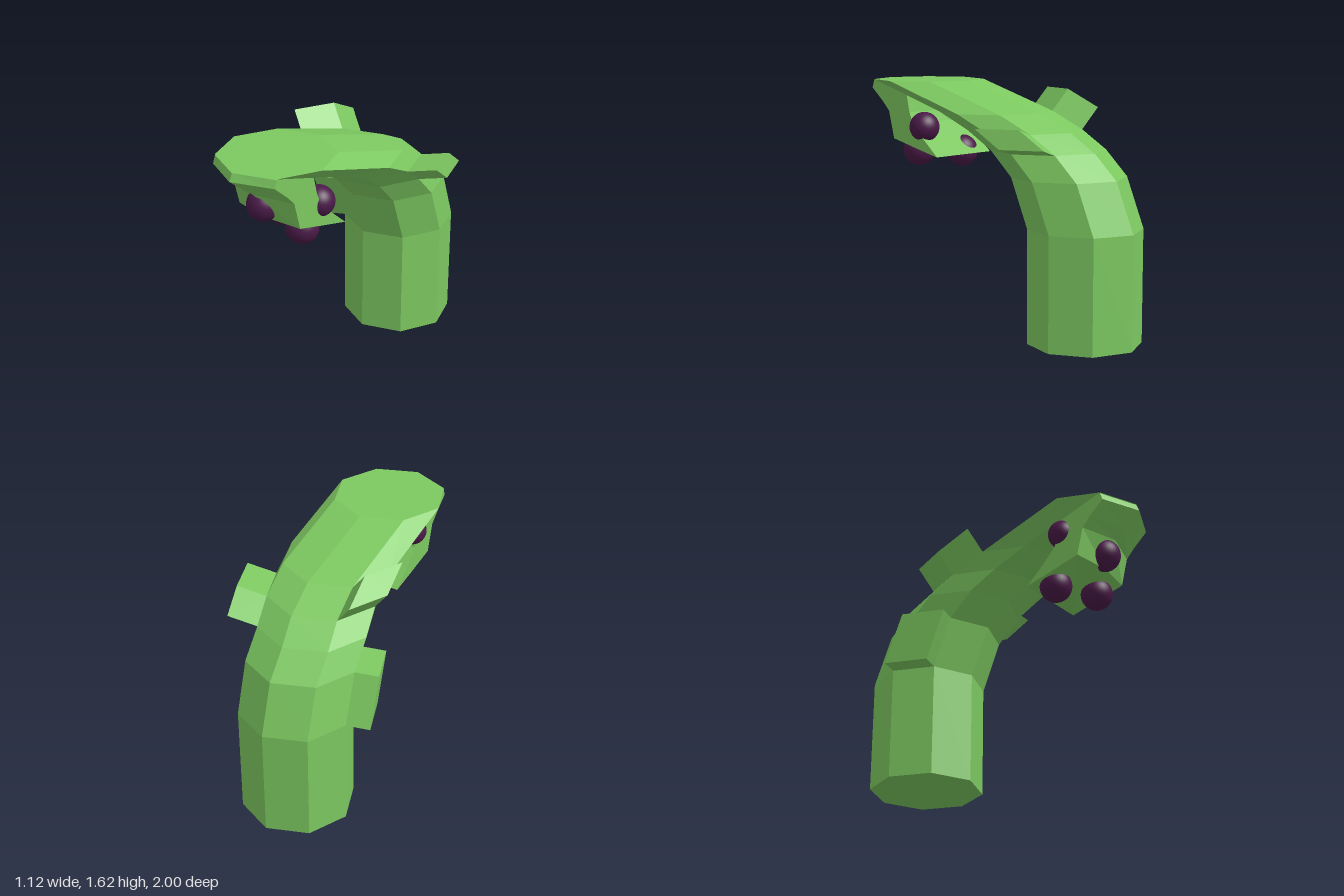
import * as THREE from 'three';

const green = new THREE.MeshStandardMaterial({ color: 0x7cc860, flatShading: true });
const purple = new THREE.MeshStandardMaterial({ color: 0x4a1a48 });

// Capped solid through loops of points with equal counts; faces always point outward
function loft(name, loops) {
  const tris = [];
  const n = loops[0].length;
  for (let s = 0; s < loops.length - 1; s++) {
    const a = loops[s], b = loops[s + 1];
    for (let i = 0; i < n; i++) {
      const j = (i + 1) % n;
      tris.push([a[i], a[j], b[j]], [a[i], b[j], b[i]]);
    }
  }
  const first = loops[0], last = loops[loops.length - 1];
  for (let i = 1; i < n - 1; i++) {
    tris.push([first[0], first[i + 1], first[i]], [last[0], last[i], last[i + 1]]);
  }
  let volume = 0;
  for (const [a, b, c] of tris) volume += a.dot(b.clone().cross(c));
  if (volume < 0) tris.forEach((t) => t.reverse());
  const geometry = new THREE.BufferGeometry().setFromPoints(tris.flat());
  geometry.computeVertexNormals();
  const mesh = new THREE.Mesh(geometry, green);
  mesh.name = name;
  return mesh;
}

export function createModel() {
  const group = new THREE.Group();
  group.name = 'bentStalk';

  // Stalk: level octagons that shift forward as they rise [x, y, z]
  const centres = [
    [-0.055, 0, -0.635], [-0.055, 0.73, -0.635], [-0.04, 1.05, -0.515],
    [-0.025, 1.21, -0.36], [0.015, 1.33, -0.2], [0.045, 1.44, 0.02], [0.045, 1.625, 0.615],
  ];
  const rings = centres.map(([x, y, z]) => Array.from({ length: 8 }, (_, i) => {
    const a = (i * Math.PI) / 4;
    return new THREE.Vector3(x + 0.365 * Math.cos(a), y, z + 0.365 * Math.sin(a));
  }));
  group.add(loft('stalk', rings));

  // Stubs: single stalk facets pushed outward
  function stub(name, ring, side, offset) {
    const next = (side + 1) % 8;
    const base = [rings[ring][side], rings[ring][next], rings[ring + 1][next], rings[ring + 1][side]];
    const move = new THREE.Vector3(...offset);
    group.add(loft(name, [base, base.map((p) => p.clone().add(move))]));
  }
  stub('lowerStub', 1, 3, [-0.14, -0.012, 0.055]);
  stub('leftStub', 3, 7, [0.18, 0.045, -0.06]);
  stub('upperStub', 4, 4, [-0.11, 0.137, -0.04]);

  // Tongue curling back under the tip: [front z, front y, ridge, back z, back y]
  const tongue = [
    [0.872, 1.62, 0.107, 0.6, 1.59], [0.89, 1.57, 0.11, 0.57, 1.54],
    [0.79, 1.48, 0.1, 0.56, 1.49], [0.735, 1.42, 0.075, 0.545, 1.42],
    [0.69, 1.24, 0.035, 0.515, 1.35], [0.5, 1.19, 0.01, 0.42, 1.25],
    [0.3, 1.14, 0, 0.302, 1.143],
  ].map(([fz, fy, ridge, bz, by]) => [
    new THREE.Vector3(-0.213, fy, fz), new THREE.Vector3(0.045, fy, fz + ridge),
    new THREE.Vector3(0.303, fy, fz), new THREE.Vector3(0.303, by, bz),
    new THREE.Vector3(-0.213, by, bz),
  ]);
  group.add(loft('tongue', tongue));

  // Berries set into the tongue: [x, y, z, radius]
  const berries = [
    [0.04, 1.33, 0.73, 0.105], [0.245, 1.325, 0.465, 0.098], [-0.17, 1.45, 0.55, 0.092],
    [-0.085, 1.15, 0.435, 0.105], [0.195, 1.168, 0.562, 0.105],
  ];
  for (const [x, y, z, r] of berries) {
    const berry = new THREE.Mesh(new THREE.SphereGeometry(r, 32, 20), purple);
    berry.position.set(x, y, z);
    berry.name = 'berry';
    group.add(berry);
  }
  return group;
}
